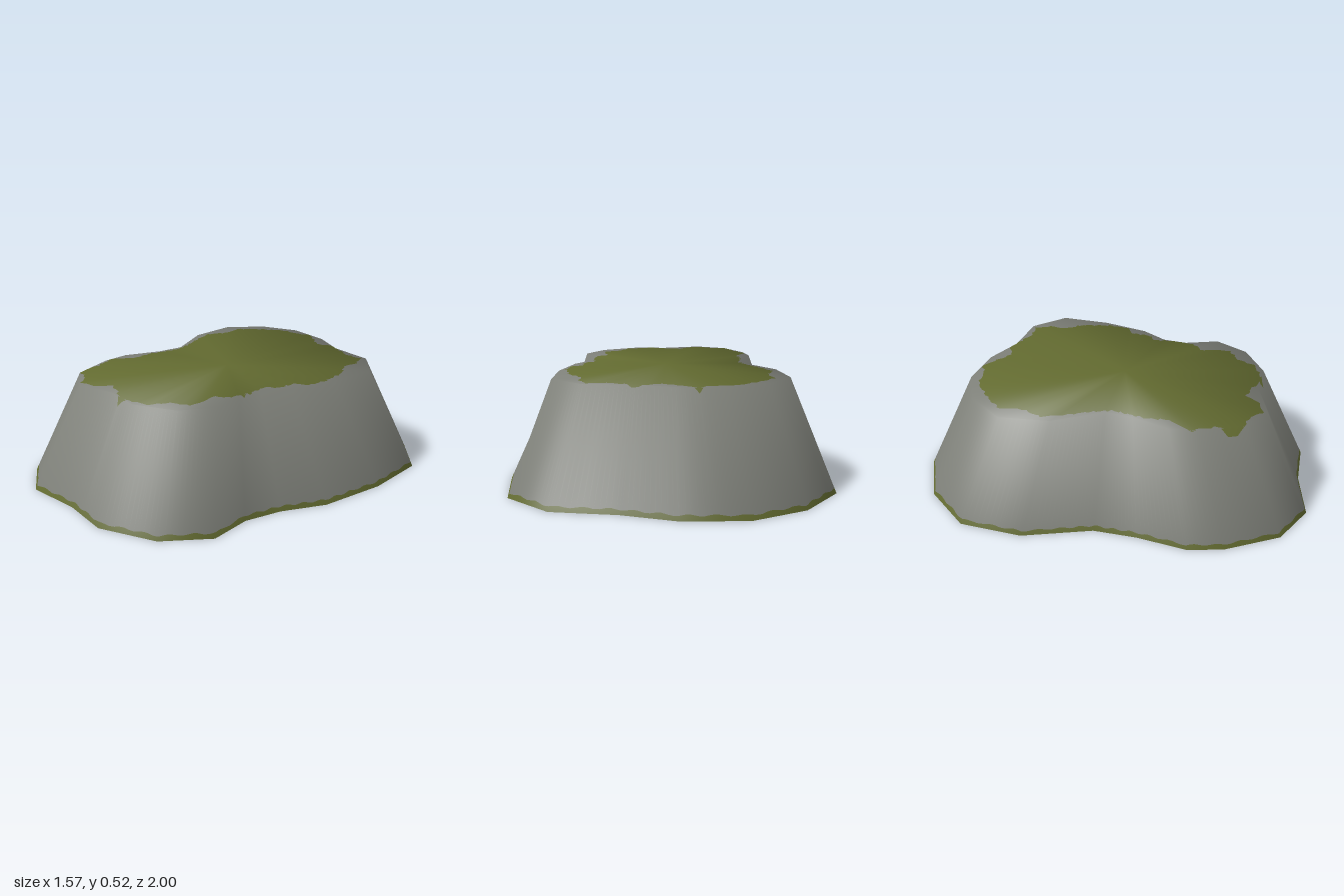
import * as THREE from 'three';

const HEIGHT = 0.52, INSET = 0.26, STRIP = 0.022;

// Ground outline of the rock, as x, z pairs
const BASE = [
  -0.325, -1, -0.02, -0.995, 0.23, -0.91, 0.54, -0.86, 0.745, -0.665, 0.78, -0.34,
  0.745, 0, 0.65, 0.215, 0.61, 0.4, 0.64, 0.605, 0.495, 0.815, 0.23, 0.955,
  -0.02, 0.95, -0.295, 1, -0.51, 0.885, -0.655, 0.635, -0.7, 0.465, -0.67, 0.215,
  -0.67, 0, -0.785, -0.33, -0.77, -0.645, -0.585, -0.875,
];

// Edge of the moss carpet on the plateau, as x, z pairs
const MOSS = [
  -0.12, -0.75, -0.05, -0.7, 0.04, -0.64, 0.13, -0.68, 0.29, -0.61, 0.38, -0.62,
  0.42, -0.54, 0.415, -0.45, 0.48, -0.36, 0.51, -0.21, 0.5, -0.1, 0.44, -0.06,
  0.435, 0.04, 0.385, 0.08, 0.4, 0.21, 0.38, 0.31, 0.32, 0.36, 0.35, 0.43,
  0.345, 0.51, 0.26, 0.56, 0.22, 0.65, 0.06, 0.71, -0.02, 0.66, -0.11, 0.64,
  -0.16, 0.71, -0.25, 0.73, -0.29, 0.68, -0.43, 0.64, -0.42, 0.53, -0.475, 0.41,
  -0.41, 0.31, -0.42, 0.2, -0.39, 0.03, -0.43, -0.08, -0.485, -0.19, -0.52, -0.29,
  -0.475, -0.4, -0.495, -0.5, -0.43, -0.58, -0.3, -0.69, -0.17, -0.71,
];

const TAU = Math.PI * 2;
const wrap = (a) => ((a % TAU) + TAU) % TAU;

// Pairs to points sorted by angle
function outline(flat) {
  const points = [];
  for (let i = 0; i < flat.length; i += 2) {
    const x = flat[i], z = flat[i + 1];
    points.push({ x, z, angle: wrap(Math.atan2(z, x)) });
  }
  return points.sort((p, q) => p.angle - q.angle);
}

// Where a ray from the centre crosses an outline: radius, edge index, fraction
function castRay(points, angle) {
  const n = points.length;
  let i = points.findIndex((p) => p.angle > angle + 1e-9);
  i = i < 0 ? n - 1 : (i + n - 1) % n;
  const p = points[i], q = points[(i + 1) % n];
  const c = Math.cos(angle), s = Math.sin(angle);
  const ex = q.x - p.x, ez = q.z - p.z;
  const t = (p.x * s - p.z * c) / (ez * c - ex * s);
  return { radius: (p.x + ex * t) * c + (p.z + ez * t) * s, i, t };
}

export function createModel() {
  const base = outline(BASE), moss = outline(MOSS);
  const rim = base.map((p) => {
    const k = 1 - INSET / Math.hypot(p.x, p.z);
    return { x: p.x * k, z: p.z * k, angle: p.angle };
  });

  // Smooth outward normals at the outline corners
  const up = new THREE.Vector3(0, 1, 0);
  const edgeNormals = base.map((p, i) => {
    const q = base[(i + 1) % base.length];
    return new THREE.Vector3(q.z - p.z, 0, p.x - q.x).normalize();
  });
  const wallNormals = base.map((p, i) => {
    const before = edgeNormals[(i + base.length - 1) % base.length];
    return before.clone().add(edgeNormals[i]).normalize().setY(0.5).normalize();
  });

  // Spokes at every corner plus even steps between them
  const angles = [...base, ...moss].map((p) => p.angle);
  for (let k = 0; k < 240; k++) angles.push((k / 240) * TAU);
  angles.sort((a, b) => a - b);

  // Each spoke: centre, moss edge, rim, moss spill, strip top, ground
  const spokes = angles.map((angle) => {
    const hit = castRay(base, angle);
    const B = hit.radius, R = castRay(rim, angle).radius;
    const ripple = 0.005 * Math.sin(angle * 61) + 0.004 * Math.sin(angle * 97 + 1);
    const m = Math.min(castRay(moss, angle).radius + ripple, R + 0.02);
    const strip = STRIP + 0.004 * Math.sin(angle * 53);
    const radii = [0, Math.min(m, R), R, Math.max(m, R), B - ((B - R) * strip) / HEIGHT, B];
    const wall = wallNormals[hit.i].clone().lerp(wallNormals[(hit.i + 1) % base.length], hit.t).normalize();
    const edge = wall.clone().addScaledVector(up, 0.8).normalize();
    return radii.map((r) => {
      const w = r <= R ? 0 : (r - R) / (B - R);
      const normal = r <= R ? up.clone().lerp(edge, r / R) : edge.clone().lerp(wall, w);
      return {
        position: [r * Math.cos(angle), HEIGHT * (1 - w), r * Math.sin(angle)],
        normal: normal.normalize().toArray(),
      };
    });
  });

  // Surface between two neighbouring rings
  function band(ring) {
    const position = [], normal = [];
    const triangle = (...corners) => {
      const [a, b, c] = corners.map((v) => new THREE.Vector3(...v.position));
      if (b.sub(a).cross(c.sub(a)).length() < 1e-9) return;
      for (const v of corners) {
        position.push(...v.position);
        normal.push(...v.normal);
      }
    };
    spokes.forEach((spoke, k) => {
      const next = spokes[(k + 1) % spokes.length];
      triangle(spoke[ring], next[ring], spoke[ring + 1]);
      triangle(next[ring], next[ring + 1], spoke[ring + 1]);
    });
    const geometry = new THREE.BufferGeometry();
    geometry.setAttribute('position', new THREE.Float32BufferAttribute(position, 3));
    geometry.setAttribute('normal', new THREE.Float32BufferAttribute(normal, 3));
    return geometry;
  }

  const stone = new THREE.MeshStandardMaterial({ color: 0x7c7e77, side: THREE.DoubleSide });
  stone.name = 'grey stone';
  const green = new THREE.MeshStandardMaterial({ color: 0x626a30, side: THREE.DoubleSide });
  green.name = 'moss green';

  const model = new THREE.Group();
  model.name = 'mossyRock';
  const parts = [
    ['mossTop', green], ['stoneRim', stone], ['mossSpill', green],
    ['stoneWall', stone], ['mossFoot', green],
  ];
  parts.forEach(([name, material], ring) => {
    const mesh = new THREE.Mesh(band(ring), material);
    mesh.name = name;
    model.add(mesh);
  });
  return model;
}
